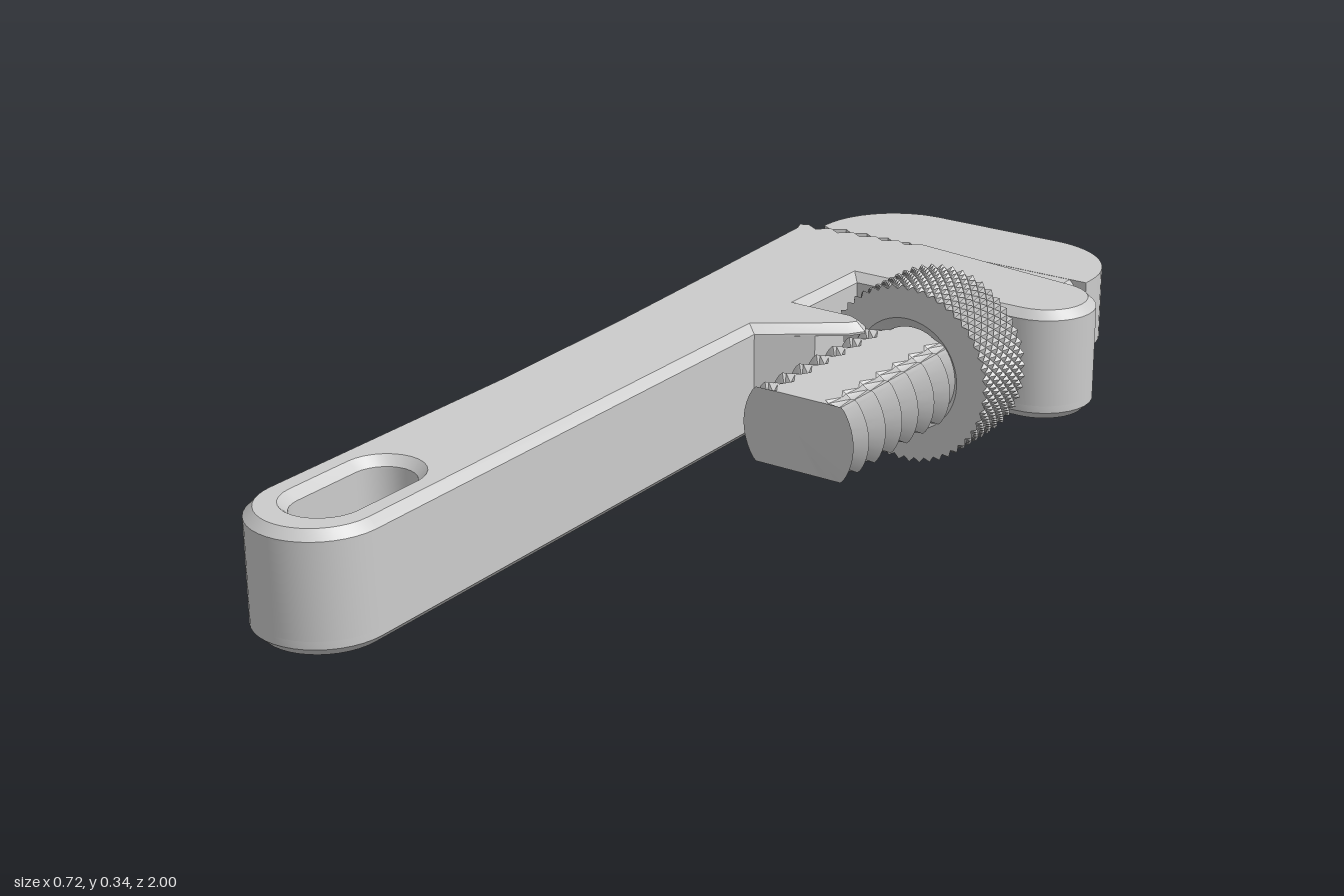
import * as THREE from 'three';
import { toCreasedNormals } from 'three/addons/utils/BufferGeometryUtils.js';

const CX = 0.125, CY = 0.172; // screw axis
const grey = new THREE.MeshStandardMaterial({ color: 0xcccccc });

function makeMesh(name, positions, indices, crease) {
  const g = new THREE.BufferGeometry();
  g.setAttribute('position', new THREE.Float32BufferAttribute(positions, 3));
  g.setIndex(indices);
  const mesh = new THREE.Mesh(toCreasedNormals(g, crease), grey);
  mesh.name = name;
  return mesh;
}

// Points [x, z] along an arc
function arc(cx, cz, rx, rz, a0, a1, n = 14) {
  return Array.from({ length: n + 1 }, (_, i) => {
    const a = a0 + (a1 - a0) * i / n;
    return [cx + rx * Math.cos(a), cz + rz * Math.sin(a)];
  });
}

// Saw-tooth edge between two points; the trailing 0 keeps it free of chamfer
function teeth(x0, z0, x1, z1, depth, n = 5) {
  return Array.from({ length: 2 * n + 1 }, (_, i) => {
    const t = i / (2 * n);
    return [x0 + (x1 - x0) * t, z0 + (z1 - z0) * t + (i % 2 ? depth : 0), 0];
  });
}

// Move every outline point into the material by d (mitred)
function inset(pts, d) {
  const n = pts.length;
  const normal = (a, b) => {
    const dx = b[0] - a[0], dz = b[1] - a[1], l = Math.hypot(dx, dz);
    return [-dz / l, dx / l];
  };
  return pts.map((p, i) => {
    const a = normal(pts[(i + n - 1) % n], p), b = normal(p, pts[(i + 1) % n]);
    const k = d * (p[2] ?? 1) / Math.max(0.4, 1 + a[0] * b[0] + a[1] * b[1]);
    return [p[0] + (a[0] + b[0]) * k, p[1] + (a[1] + b[1]) * k];
  });
}

// Slab from outlines in xz, with levels [y, inset] from bottom to top
function slab(name, outline, holes, levels) {
  const loops = [outline, ...holes], pos = [], idx = [];
  const total = loops.reduce((s, l) => s + l.length, 0);
  for (const [y, d] of levels)
    for (const l of loops) for (const [x, z] of inset(l, d)) pos.push(x, y, z);
  for (let k = 0; k < levels.length - 1; k++) {
    let start = k * total;
    for (const l of loops) {
      l.forEach((_, i) => {
        const a = start + i, b = start + (i + 1) % l.length;
        idx.push(a, a + total, b + total, a, b + total, b);
      });
      start += l.length;
    }
  }
  const cap = (d, base, flip) => {
    const [c, ...h] = loops.map(l => inset(l, d).map(p => new THREE.Vector2(p[0], p[1])));
    for (const [a, b, e] of THREE.ShapeUtils.triangulateShape(c, h))
      idx.push(base + a, base + (flip ? e : b), base + (flip ? b : e));
  };
  const last = levels.length - 1;
  cap(levels[0][1], 0, false);
  cap(levels[last][1], last * total, true);
  return makeMesh(name, pos, idx, 0.5);
}

// Surface swept round the screw axis; f(column, row) gives [radius, z]
function turned(name, cols, rows, f, flat, crease) {
  const pos = [], idx = [];
  for (let j = 0; j < rows; j++)
    for (let i = 0; i <= cols; i++) {
      const t = i / cols * Math.PI * 2, [r, z] = f(i, j);
      pos.push(CX + r * Math.cos(t), CY + THREE.MathUtils.clamp(r * Math.sin(t), -flat, flat), z);
    }
  for (let j = 0; j < rows - 1; j++)
    for (let i = 0; i < cols; i++) {
      const a = j * (cols + 1) + i, b = a + 1, d = a + cols + 1, c = d + 1;
      // the split runs along the grooves of a chequered relief
      if ((i + j) % 2) idx.push(a, b, c, a, c, d);
      else idx.push(a, b, d, b, c, d);
    }
  return makeMesh(name, pos, idx, crease);
}

export function createModel() {
  const group = new THREE.Group();
  const PI = Math.PI;

  // Handle with hanging slot, lower jaw and forked spur
  const jawTeeth = teeth(-0.335, -0.725, -0.085, -0.746, 0.018);
  const headEnd = arc(0.262, -0.617, 0.098, 0.098, -1.48, PI / 2);
  const handle = [
    [-0.09, -0.17], ...arc(-0.199, 0.88, 0.119, 0.119, 0, PI, 20),
    [-0.315, 0.3], [-0.325, -0.05], [-0.343, -0.4], [-0.36, -0.7], [-0.352, -0.718, 0],
  ];
  const slot = [
    ...arc(-0.199, 0.868, 0.057, 0.057, 0, PI),
    ...arc(-0.199, 0.729, 0.057, 0.057, PI, 2 * PI),
  ].reverse();
  const outline = [
    ...jawTeeth, ...headEnd, [-0.09, -0.519], [-0.09, -0.333],
    [0.025, -0.333], [0.055, -0.32], [0.068, -0.297], [0.05, -0.27], ...handle,
  ];
  const core = [
    ...jawTeeth, [0, -0.738], [0, -0.519], [-0.09, -0.519], [-0.09, -0.333],
    [0, -0.333], [0, -0.234], ...handle,
  ];
  const bevel = 0.016, y0 = 0.06, y1 = 0.275, c0 = 0.09, c1 = 0.255;
  const body = new THREE.Group();
  body.name = 'handleAndLowerJaw';
  body.add(
    slab('bodyBottom', outline, [slot], [[y0, bevel], [y0 + bevel, 0], [c0, 0]]),
    slab('bodyCore', core, [slot], [[c0, 0], [c1, 0]]),
    slab('headEnd', [[0.245, -0.718], ...headEnd, [0.245, -0.519]], [], [[c0, 0], [c1, 0]]),
    slab('bodyTop', outline, [slot], [[c1, 0], [y1 - bevel, 0], [y1, bevel]]),
  );
  group.add(body);

  // Upper hook jaw
  group.add(slab('upperJaw', [
    ...arc(-0.195, -0.83, 0.165, 0.17, PI, 1.5 * PI),
    ...arc(0.08, -0.83, 0.17, 0.17, 1.5 * PI, 2 * PI),
    [0.25, -0.807], ...teeth(-0.085, -0.807, -0.335, -0.807, -0.018), [-0.36, -0.82],
  ], [], [[0.102, 0], [0.243, 0]]));

  // Shank with two flats, then its helical thread
  const R = 0.115, root = 0.085, flat = 0.0705;
  const shank = [[0, -0.82], [R, -0.82], [R, -0.58], [0, -0.58]];
  group.add(turned('shank', 64, 4, (i, j) => shank[j], flat, 0.5));
  const pitch = 0.055, zA = -0.59, zB = 0.01;
  const rows = Math.ceil((zB - zA) / pitch + 2) * 2 + 1;
  group.add(turned('screwThread', 64, rows, (i, j) => {
    const z = zA + pitch * (j / 2 - 1.5 + i / 64);
    const r = j === 0 || j === rows - 1 ? 0 : j % 2 ? R : root;
    return [r, THREE.MathUtils.clamp(z, zA, zB)];
  }, flat, 0.5));

  // Knurled adjusting nut: diamond relief, flat ends, chamfered bore
  const za = -0.49, zb = -0.35, bands = 12;
  const inner = [
    [0.16, zb], [0.108, zb], [root, zb - 0.02], [root, za + 0.02], [0.108, za], [0.16, za],
  ];
  group.add(turned('adjustingNut', 96, bands + 2 + inner.length, (i, j) => {
    if (j === 0) return inner[5];
    if (j <= bands + 1)
      return [(i + j) % 2 ? 0.163 : 0.172, za + (zb - za) * (j - 1) / bands];
    return inner[j - bands - 2];
  }, 1, 0.25));

  return group;
}
